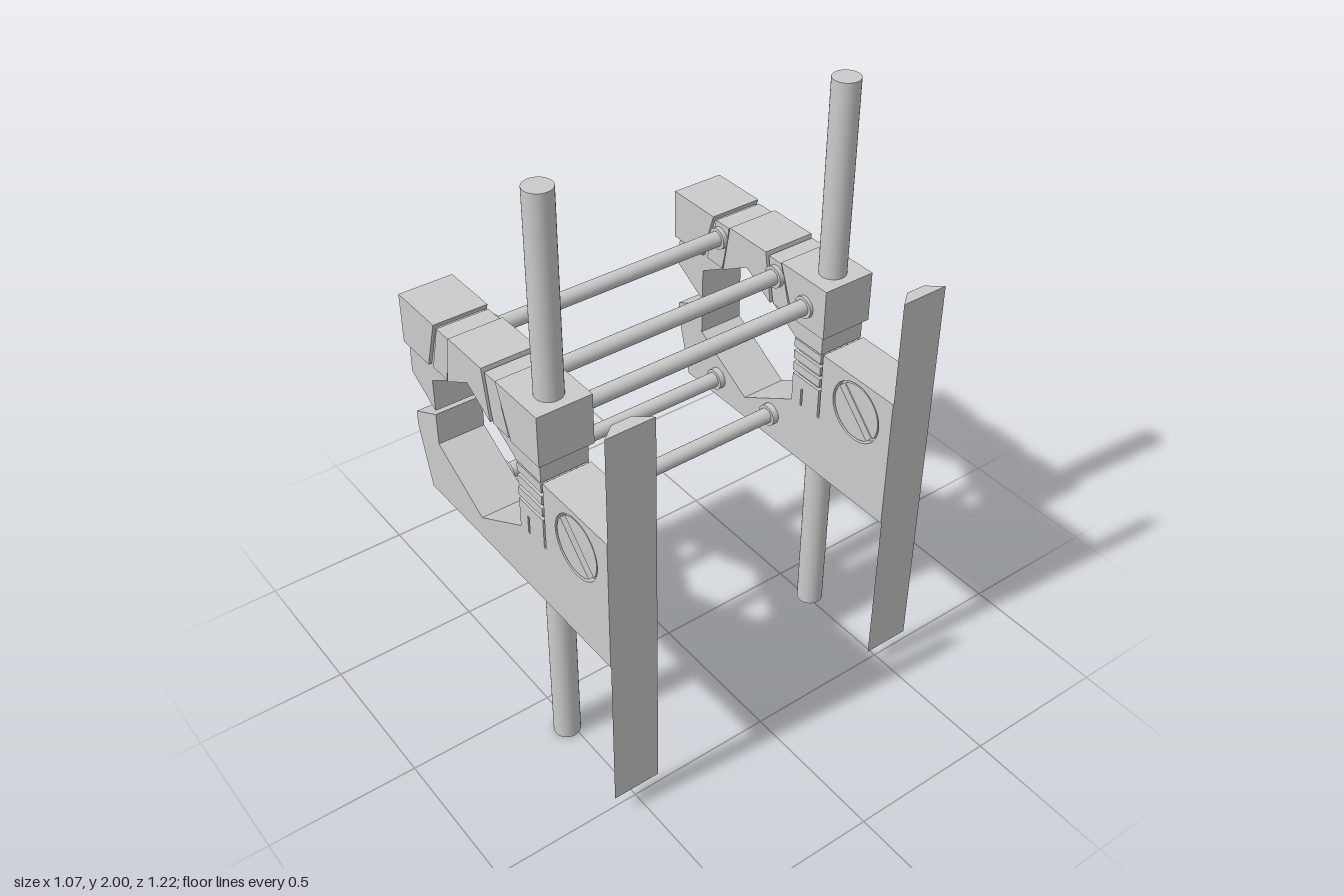
import * as THREE from 'three';

const material = new THREE.MeshStandardMaterial({ color: 0xcccccc });
const CLAMP_Z = 0.515;

function add(parent, name, geometry, x = 0, y = 0, z = 0) {
  const mesh = new THREE.Mesh(geometry, material);
  mesh.name = name;
  mesh.position.set(x, y, z);
  parent.add(mesh);
  return mesh;
}

const polygon = (points) => new THREE.Shape(points.map(([x, y]) => new THREE.Vector2(x, y)));

// Front outline extruded evenly to both sides of z = 0
function slab(shape, halfDepth) {
  const geometry = new THREE.ExtrudeGeometry(shape, {
    depth: halfDepth * 2, bevelEnabled: false, curveSegments: 24,
  });
  return geometry.translate(0, 0, -halfDepth);
}

// Slotted screw face looking along +z
function screwFace() {
  const face = new THREE.Group();
  face.name = 'screwFace';
  for (const side of [0, 1]) {
    const half = new THREE.Shape();
    half.absarc(0, 0, 0.097, 0.18, Math.PI - 0.18, false);
    const geometry = new THREE.ExtrudeGeometry(half, {
      depth: 0.022, bevelEnabled: false, curveSegments: 20,
    });
    add(face, 'screwHeadHalf', geometry, 0, 0, 0.058).rotation.z = -Math.PI / 4 + side * Math.PI;
  }
  return face;
}

function clamp() {
  const group = new THREE.Group();
  group.name = 'clamp';

  // Lower jaw and screw plate in one piece
  const lower = polygon([
    [-0.465, 0.65], [0.529, 0.65], [0.529, 1.115], [0.215, 1.115], [0.215, 0.87],
    [0.08, 0.865], [-0.155, 0.73], [-0.395, 0.865], [-0.395, 0.98], [-0.525, 0.915],
    [-0.525, 0.865],
  ]);
  const hole = new THREE.Path();
  hole.absarc(0.375, 0.993, 0.104, 0, Math.PI * 2, true);
  lower.holes.push(hole);
  add(group, 'lowerJaw', slab(lower, 0.082));

  // Screw with a slotted face on either side
  const screw = new THREE.Group();
  screw.name = 'screw';
  screw.position.set(0.375, 0.993, 0);
  add(screw, 'screwCore', new THREE.CylinderGeometry(0.104, 0.104, 0.118, 40)).rotation.x = Math.PI / 2;
  for (const turn of [0, Math.PI]) {
    const face = screwFace();
    face.rotation.y = turn;
    screw.add(face);
  }
  group.add(screw);

  // Upper arm running over the hexagonal opening
  add(group, 'upperArm', slab(polygon([
    [-0.395, 0.995], [-0.395, 1.11], [-0.155, 1.25], [0.08, 1.11], [0.205, 1.11],
    [0.205, 1.335], [-0.52, 1.335], [-0.525, 1.07],
  ]), 0.081));

  // Raised blocks on the arm
  const blocks = [
    [[-0.535, 1.18], [-0.385, 1.18], [-0.33, 1.352], [-0.535, 1.352]],
    [[-0.275, 1.18], [-0.155, 1.25], [-0.035, 1.18], [-0.065, 1.352], [-0.245, 1.352]],
    [[0.075, 1.18], [0.22, 1.18], [0.22, 1.352], [0.01, 1.352]],
  ];
  for (const points of blocks) add(group, 'armBlock', slab(polygon(points), 0.0925));

  // Narrow inset segments between the blocks
  const strips = [
    [[-0.365, 1.18], [-0.285, 1.18], [-0.275, 1.225], [-0.255, 1.343], [-0.32, 1.343]],
    [[-0.025, 1.18], [0.058, 1.18], [0.005, 1.343], [-0.055, 1.343], [-0.035, 1.225]],
  ];
  for (const points of strips) add(group, 'armSegment', slab(polygon(points), 0.088));

  // Ribbed column joining arm and jaw
  add(group, 'columnCore', new THREE.BoxGeometry(0.1, 0.34, 0.144), 0.143, 1.01);
  for (const y of [1.0, 1.045, 1.09]) {
    add(group, 'columnRib', new THREE.BoxGeometry(0.125, 0.031, 0.164), 0.1425, y);
  }
  add(group, 'columnBase', new THREE.BoxGeometry(0.125, 0.04, 0.164), 0.1425, 0.952);
  add(group, 'columnFoot', new THREE.BoxGeometry(0.042, 0.08, 0.164), 0.101, 0.9);
  add(group, 'columnFoot', new THREE.BoxGeometry(0.075, 0.08, 0.164), 0.1675, 0.9);

  // Upright rod
  add(group, 'uprightRod', new THREE.CylinderGeometry(0.044, 0.044, 2, 32), 0.145, 1, 0.002);

  // Tapered upright blade on the outer edge
  const blade = new THREE.ExtrudeGeometry(
    polygon([[0.53, -0.081], [0.53, 0.081], [0.49, 0.032], [0.49, -0.032]]),
    { depth: 1.39, bevelEnabled: false },
  ).rotateX(-Math.PI / 2);
  add(group, 'blade', blade, 0, 0.08, 0);
  return group;
}

export function createModel() {
  const model = new THREE.Group();
  model.name = 'doubleClamp';

  // One clamp at each end
  for (const side of [1, -1]) {
    const end = clamp();
    end.position.z = side * CLAMP_Z;
    model.add(end);
  }

  // Cross rods with a collar at each end
  const rods = [[-0.297, 1.29], [-0.015, 1.29], [0.13, 1.255], [-0.297, 0.73], [-0.015, 0.75]];
  for (const [x, y] of rods) {
    add(model, 'crossRod', new THREE.CylinderGeometry(0.026, 0.026, 0.92, 24), x, y, 0).rotation.x = Math.PI / 2;
    for (const side of [1, -1]) {
      add(model, 'rodCollar', new THREE.CylinderGeometry(0.037, 0.037, 0.035, 24), x, y, side * 0.429).rotation.x = Math.PI / 2;
    }
  }
  return model;
}
